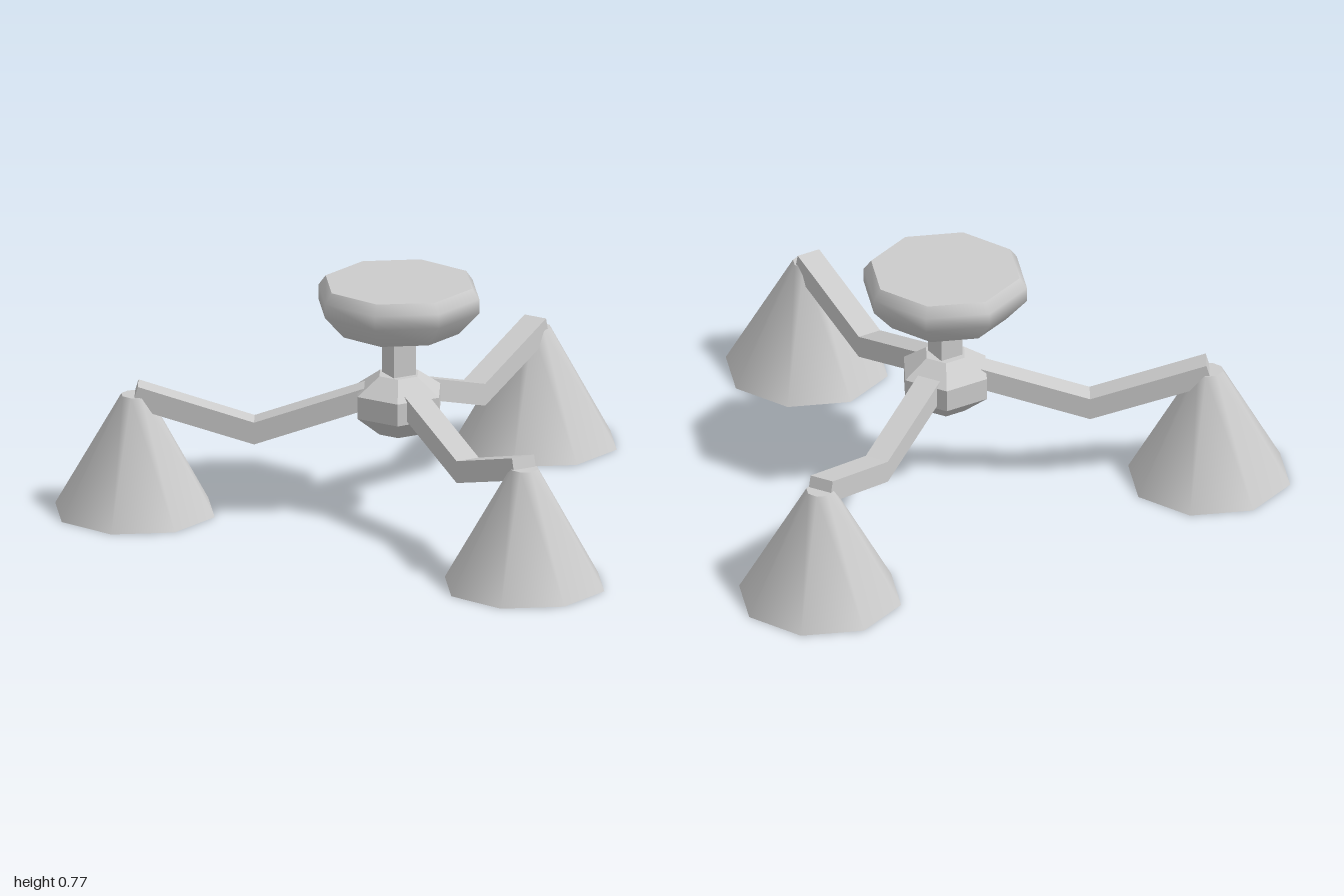
import * as THREE from 'three';
import { mergeGeometries } from 'three/addons/utils/BufferGeometryUtils.js';

const CENTRE_Z = -0.21;
const ARM_REACH = 0.84;

// Turns several profile strips into one solid; edges between strips stay sharp.
function latheStrips(strips, sides, phiStart = 0) {
  return mergeGeometries(strips.map(strip =>
    new THREE.LatheGeometry(strip.map(([r, y]) => new THREE.Vector2(r, y)), sides, phiStart)));
}

// Cuts a profile into single segments, so every ring is creased.
const segments = profile => profile.slice(1).map((p, i) => [profile[i], p]);

export function createModel() {
  const model = new THREE.Group();
  model.name = 'ceilingLamp';
  const grey = new THREE.MeshStandardMaterial({ color: 0xcccccc });
  grey.name = 'light grey';
  const greyFlat = grey.clone();
  greyFlat.flatShading = true;

  const add = (name, geometry, material, x, y, z) => {
    const mesh = new THREE.Mesh(geometry, material);
    mesh.name = name;
    mesh.position.set(x, y, z);
    model.add(mesh);
    return mesh;
  };

  // Ceiling mount: flat top and bottom with a rounded side
  add('ceilingMount', latheStrips([
    [[0, 0.615], [0.2, 0.615]],
    [[0.2, 0.615], [0.267, 0.69], [0.267, 0.737], [0.243, 0.77]],
    [[0.243, 0.77], [0, 0.77]],
  ], 8), grey, 0, 0, CENTRE_Z);

  // Square stem
  add('stem', new THREE.BoxGeometry(0.08, 0.2, 0.08), greyFlat, 0, 0.54, CENTRE_Z);

  // Six-sided hub
  add('hub', latheStrips(segments([
    [0, 0.27], [0.07, 0.27], [0.15, 0.335], [0.15, 0.408], [0.07, 0.465], [0, 0.465],
  ]), 6, Math.PI / 6), greyFlat, 0, 0, CENTRE_Z);

  // Bent arm, drawn from the side and given its width
  const armShape = new THREE.Shape([
    [0.1, 0.355], [0.46, 0.235], [0.85, 0.355], [0.83, 0.424], [0.46, 0.308], [0.1, 0.428],
  ].map(([r, y]) => new THREE.Vector2(r, y)));
  const armGeometry = new THREE.ExtrudeGeometry(armShape, { depth: 0.08, bevelEnabled: false });
  armGeometry.translate(0, 0, -0.04).rotateY(-Math.PI / 2);

  // Hollow shade: inner wall, rim, outer wall and cap
  const shadeGeometry = latheStrips(segments([
    [0, 0.355], [0.035, 0.355], [0.238, 0], [0.265, 0], [0.045, 0.387], [0, 0.387],
  ]), 8);

  // Three arms with their shades
  ['front', 'backLeft', 'backRight'].forEach((side, i) => {
    const angle = i * Math.PI * 2 / 3;
    add(side + 'Arm', armGeometry, greyFlat, 0, 0, CENTRE_Z).rotation.y = angle;
    add(side + 'Shade', shadeGeometry, grey,
      Math.sin(angle) * ARM_REACH, 0, CENTRE_Z + Math.cos(angle) * ARM_REACH);
  });

  return model;
}
